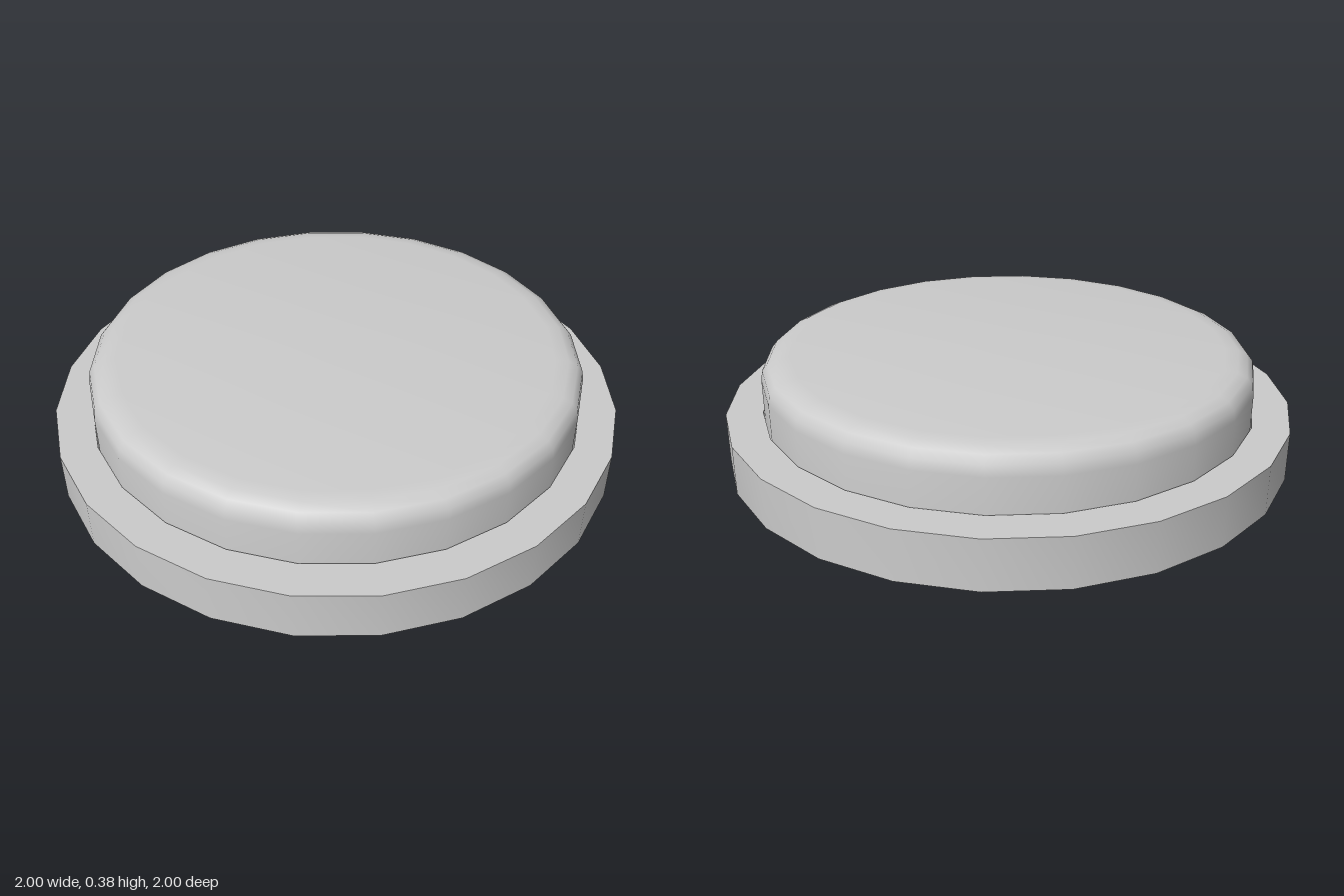
import * as THREE from 'three';
import { toCreasedNormals } from 'three/addons/utils/BufferGeometryUtils.js';

const SIDES = 24;

// Turns a [radius, height] profile, listed bottom to top along the outside
function turned(name, profile, material) {
  const points = profile.map(([r, y]) => new THREE.Vector2(r, y));
  const geometry = toCreasedNormals(new THREE.LatheGeometry(points, SIDES), 0.7);
  const mesh = new THREE.Mesh(geometry, material);
  mesh.name = name;
  return mesh;
}

export function createModel() {
  const group = new THREE.Group();
  group.name = 'pushButton';
  const grey = new THREE.MeshStandardMaterial({ color: 0xcccccc });

  // Flat outer ring, open in the middle
  group.add(turned('baseRing', [
    [0.872, 0], [1, 0], [1, 0.175], [0.872, 0.175], [0.872, 0],
  ], grey));

  // Rounded cap seated in the ring, its underside slightly recessed
  group.add(turned('buttonCap', [
    [0, 0.04], [0.868, 0.04], [0.868, 0.295], [0.862, 0.331],
    [0.842, 0.356], [0.81, 0.37], [0.765, 0.375], [0, 0.375],
  ], grey));

  return group;
}
